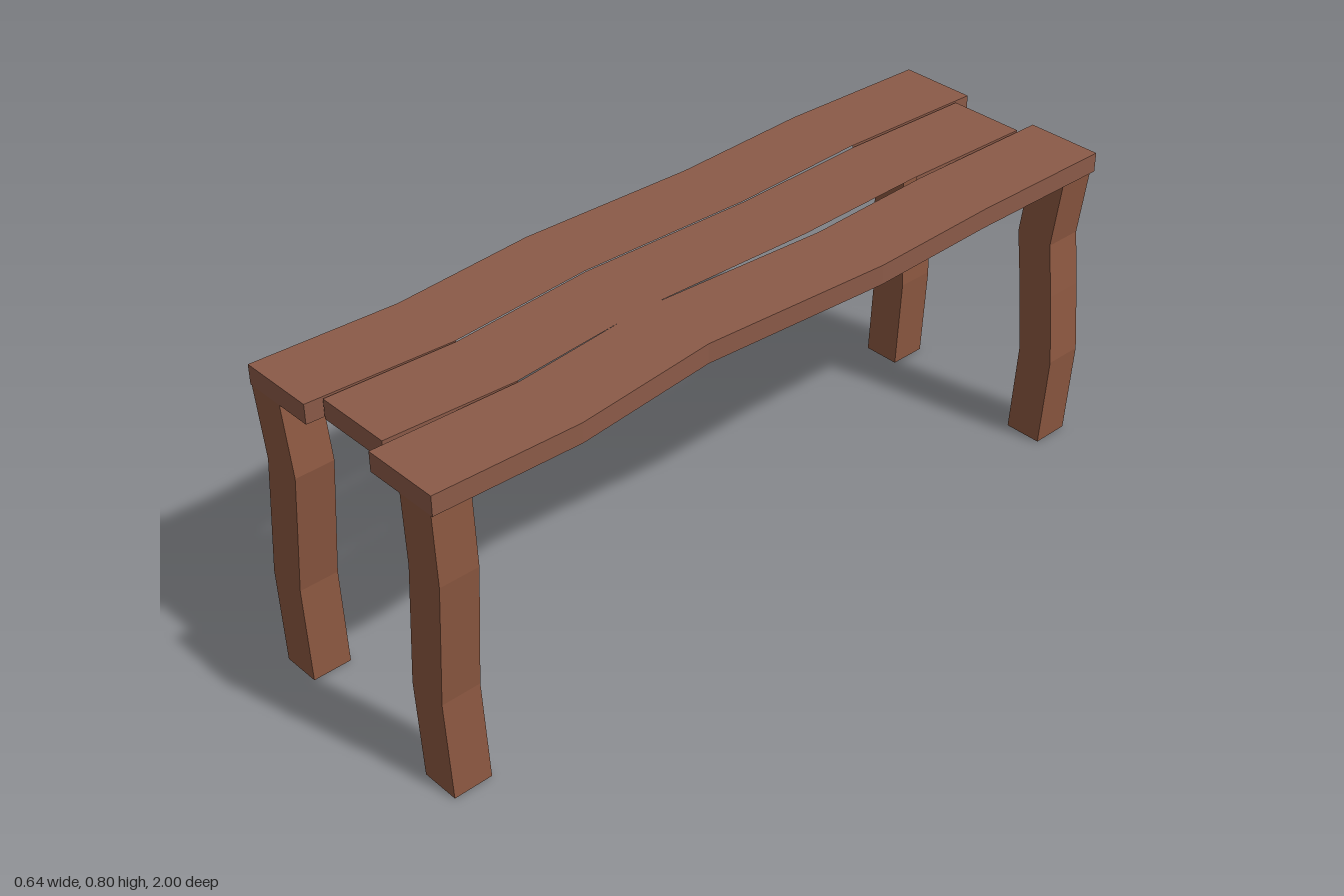
import * as THREE from 'three';

const plankMaterial = new THREE.MeshStandardMaterial({ color: 0x8b5a48, flatShading: true, side: THREE.DoubleSide });
const legMaterial = new THREE.MeshStandardMaterial({ color: 0x8b5740, flatShading: true, side: THREE.DoubleSide });

// Collects four-cornered faces (counter-clockwise from outside) into one mesh
function quadMesh(name, quads, material) {
  const points = quads.flatMap(([a, b, c, d]) => [a, b, c, a, c, d]).flat();
  const geometry = new THREE.BufferGeometry();
  geometry.setAttribute('position', new THREE.Float32BufferAttribute(points, 3));
  geometry.computeVertexNormals();
  const mesh = new THREE.Mesh(geometry, material);
  mesh.name = name;
  return mesh;
}

// Wavy board, open underneath; stations are [z, xMin, xMax] from back to front.
// Edges facing a neighbouring board are only closed near the two ends.
function plank(name, stations, innerMin, innerMax) {
  const low = 0.75, high = 0.8, last = stations.length - 1;
  const quads = [];
  for (let i = 0; i < last; i++) {
    const [z0, a0, b0] = stations[i];
    const [z1, a1, b1] = stations[i + 1];
    const atEnd = i === 0 || i === last - 1;
    quads.push([[a0, high, z0], [a1, high, z1], [b1, high, z1], [b0, high, z0]]);
    if (atEnd || !innerMin) quads.push([[a0, low, z0], [a1, low, z1], [a1, high, z1], [a0, high, z0]]);
    if (atEnd || !innerMax) quads.push([[b1, low, z1], [b0, low, z0], [b0, high, z0], [b1, high, z1]]);
  }
  const [zb, ab, bb] = stations[0];
  const [zf, af, bf] = stations[last];
  quads.push([[bb, low, zb], [ab, low, zb], [ab, high, zb], [bb, high, zb]]);
  quads.push([[af, low, zf], [bf, low, zf], [bf, high, zf], [af, high, zf]]);
  return quadMesh(name, quads, plankMaterial);
}

// Crooked square leg, a tube open at both ends; xs are its centres going up
const legHeights = [0, 0.25, 0.435, 0.575, 0.75];
function leg(name, xs, z) {
  const h = 0.05;
  const ring = (i) => [[-h, h], [h, h], [h, -h], [-h, -h]].map(([dx, dz]) => [xs[i] + dx, legHeights[i], z + dz]);
  const quads = [];
  for (let i = 0; i < xs.length - 1; i++) {
    const lower = ring(i), upper = ring(i + 1);
    for (let k = 0; k < 4; k++) {
      const n = (k + 1) % 4;
      quads.push([lower[k], lower[n], upper[n], upper[k]]);
    }
  }
  return quadMesh(name, quads, legMaterial);
}

export function createModel() {
  const bench = new THREE.Group();
  bench.name = 'bench';

  // Three seat boards
  bench.add(
    plank('rightPlank', [
      [-1, -0.305, -0.105], [-0.6, -0.32, -0.12], [-0.22, -0.305, -0.105],
      [0.25, -0.322, -0.12], [0.63, -0.294, -0.092], [1, -0.315, -0.115],
    ], false, true),
    plank('middlePlank', [
      [-0.95, -0.1, 0.1], [-0.6, -0.112, 0.09], [-0.22, -0.102, 0.098],
      [0.25, -0.117, 0.083], [0.63, -0.088, 0.114], [0.96, -0.105, 0.095],
    ], true, true),
    plank('leftPlank', [
      [-1, 0.107, 0.305], [-0.6, 0.1, 0.302], [-0.25, 0.113, 0.312],
      [0.25, 0.082, 0.28], [0.63, 0.118, 0.318], [1, 0.105, 0.305],
    ], true, false),
  );

  // Four legs
  bench.add(
    leg('frontRightLeg', [-0.26, -0.272, -0.25, -0.234, -0.26], 0.95),
    leg('backRightLeg', [-0.25, -0.238, -0.25, -0.256, -0.25], -0.94),
    leg('frontLeftLeg', [0.25, 0.232, 0.247, 0.258, 0.25], 0.95),
    leg('backLeftLeg', [0.25, 0.265, 0.246, 0.228, 0.25], -0.94),
  );
  return bench;
}
